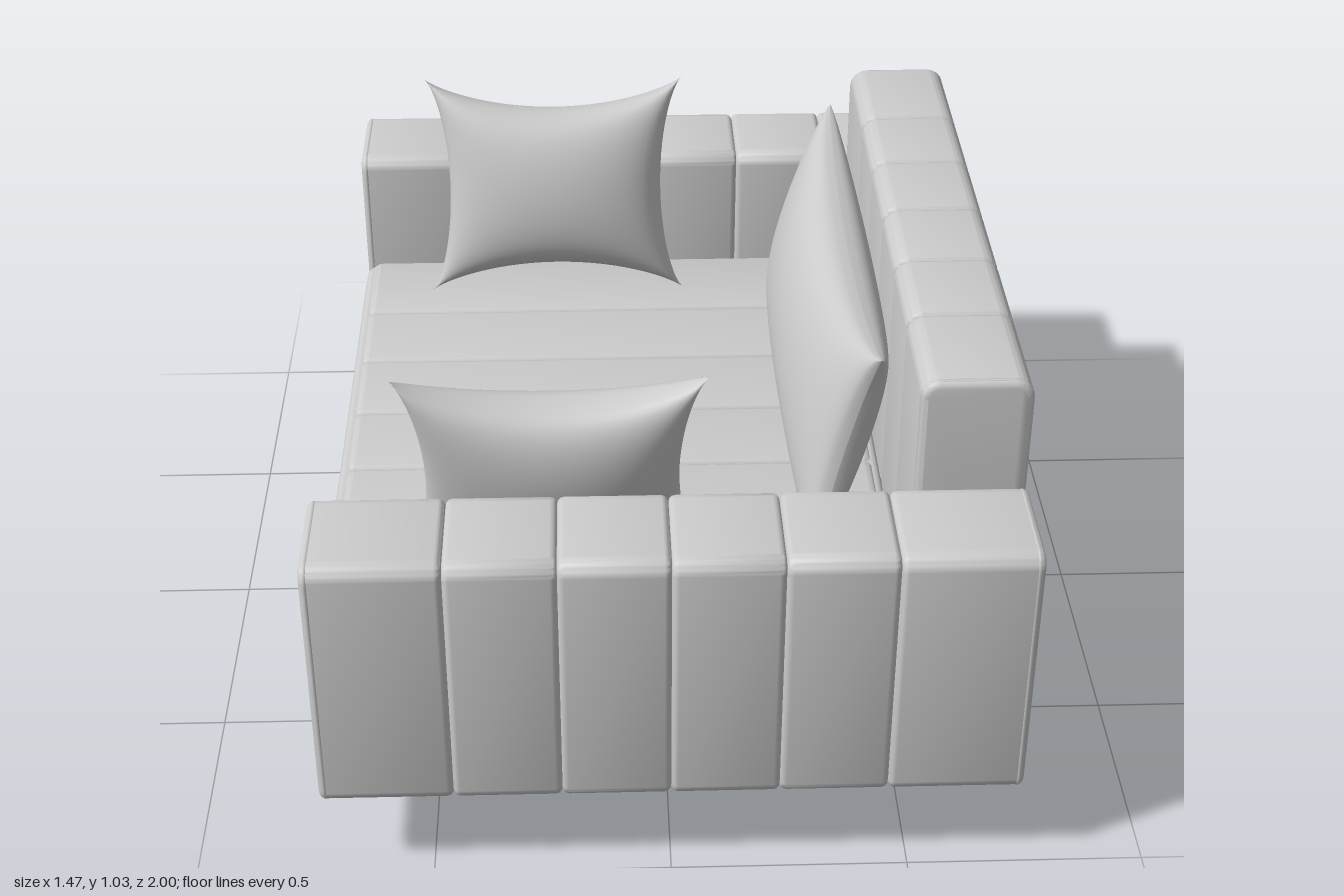
import * as THREE from 'three';
import { RoundedBoxGeometry } from 'three/addons/geometries/RoundedBoxGeometry.js';
import { mergeGeometries, toCreasedNormals } from 'three/addons/utils/BufferGeometryUtils.js';

const material = new THREE.MeshStandardMaterial({ color: 0xcccccc });
const BEVEL = 0.014;

function add(parent, name, geometry) {
  const mesh = new THREE.Mesh(geometry, material);
  mesh.name = name;
  parent.add(mesh);
  return mesh;
}

function roundedRect(path, w, h, r) {
  const x = w / 2, y = h / 2;
  path.moveTo(-x + r, -y);
  path.lineTo(x - r, -y);
  path.absarc(x - r, -y + r, r, -Math.PI / 2, 0);
  path.absarc(x - r, y - r, r, 0, Math.PI / 2);
  path.absarc(-x + r, y - r, r, Math.PI / 2, Math.PI);
  path.absarc(-x + r, -y + r, r, Math.PI, Math.PI * 1.5);
  path.closePath();
  return path;
}

// Padded block along z: rounded cross-section with softly bevelled ends
function pad(w, h, radius, z0, z1) {
  const g = new THREE.ExtrudeGeometry(roundedRect(new THREE.Shape(), w, h, radius), {
    depth: z1 - z0 - 2 * BEVEL, curveSegments: 6,
    bevelThickness: BEVEL, bevelSize: BEVEL, bevelOffset: -BEVEL, bevelSegments: 3,
  });
  return toCreasedNormals(g.translate(0, 0, z0 + BEVEL), 0.8);
}

// Row of padded channels split at the given cuts
function channels(w, h, radius, cuts) {
  return mergeGeometries(cuts.slice(1).map((end, i) => pad(w, h, radius, cuts[i], end)));
}

// Thin cord around an end panel, lying in the xy plane
function piping(w, h, r) {
  const pts = roundedRect(new THREE.Path(), w, h, r).getPoints(6)
    .map((p) => new THREE.Vector3(p.x, p.y, 0));
  const curve = new THREE.CurvePath();
  for (let i = 0; i < pts.length - 1; i++) {
    if (pts[i].distanceTo(pts[i + 1]) > 1e-4) curve.add(new THREE.LineCurve3(pts[i], pts[i + 1]));
  }
  return new THREE.TubeGeometry(curve, 160, 0.006, 6, true);
}

// Stuffed pillow: two bulged sheets meeting at a seam with pulled-out corners
function pillow(w, h, depth, insetX, insetY) {
  const n = 32;
  const sheets = [1, -1].map((side) => {
    const g = new THREE.PlaneGeometry(2, 2, n, n);
    const p = g.attributes.position;
    for (let i = 0; i < p.count; i++) {
      const u = Math.sin(p.getX(i) * Math.PI / 2), v = Math.sin(p.getY(i) * Math.PI / 2);
      const fu = Math.max(0, 1 - u * u), fv = Math.max(0, 1 - v * v);
      const x = u * (w / 2 - insetX * Math.pow(fv, 0.7));
      const y = v * (h / 2 - insetY * Math.pow(fu, 0.8));
      p.setXYZ(i, x * side, y, side * depth / 2 * Math.pow(fu * fv, 0.38));
    }
    g.computeVertexNormals();
    return g;
  });
  return mergeGeometries(sheets);
}

export function createModel() {
  const model = new THREE.Group();
  model.name = 'sofa';

  // Seat base
  const base = add(model, 'seatBase', new RoundedBoxGeometry(1.245, 0.275, 1.47, 4, 0.025));
  base.position.set(-0.1125, 0.3275, 0);

  // Channelled mattress on a thin border with rounded corners
  const border = pad(1.222, 1.446, 0.045, -0.025, 0.025).rotateX(-Math.PI / 2);
  add(model, 'cushionBorder', border).position.set(-0.114, 0.48, 0);
  const inner = [-0.46, -0.23, 0, 0.23, 0.46];
  const seat = channels(1.205, 0.065, 0.03, [-0.715, ...inner, 0.715]);
  add(model, 'seatCushion', seat).position.set(-0.113, 0.48, 0);

  // Backrest with piped ends
  const back = new THREE.Group();
  back.name = 'backrest';
  back.position.set(0.619, 0.612, 0);
  add(back, 'backChannels', channels(0.228, 0.842, 0.04, [-0.732, ...inner, 0.732]));
  for (const s of [-1, 1]) {
    add(back, 'backPiping', piping(0.219, 0.833, 0.036)).position.z = s * 0.719;
  }
  model.add(back);

  // Arms with piped ends, built along z and turned to run along x
  const armChannels = channels(0.263, 0.6, 0.035, [-0.728, -0.45, -0.225, 0, 0.225, 0.45, 0.733]);
  for (const s of [-1, 1]) {
    const arm = new THREE.Group();
    arm.name = s > 0 ? 'leftArm' : 'rightArm';
    arm.rotation.y = Math.PI / 2;
    arm.position.set(0, 0.495, s * 0.8675);
    add(arm, 'armChannels', armChannels);
    for (const z of [-0.715, 0.72]) {
      add(arm, 'armPiping', piping(0.254, 0.591, 0.031)).position.z = z;
    }
    model.add(arm);
  }

  // Flat-bar loop legs
  const loop = roundedRect(new THREE.Shape(), 1.21, 0.185, 0.04);
  loop.holes.push(roundedRect(new THREE.Path(), 1.196, 0.171, 0.033));
  const legGeometry = new THREE.ExtrudeGeometry(loop, { depth: 0.108, bevelEnabled: false, curveSegments: 8 });
  legGeometry.translate(0, 0, -0.054).rotateY(Math.PI / 2);
  for (const x of [-0.565, 0.565]) {
    add(model, 'leg', legGeometry).position.set(x, 0.0935, 0.005);
  }

  // Square pillows leaning on the arms
  const square = pillow(0.635, 0.54, 0.225, 0.055, 0.075);
  for (const s of [-1, 1]) {
    const p = add(model, 'armPillow', square);
    p.position.set(-0.235, 0.773, s * 0.633);
    p.rotation.x = s * 0.24;
  }

  // Long pillow leaning on the backrest
  const long = add(model, 'backPillow', pillow(1.19, 0.51, 0.215, 0.05, 0.06));
  long.rotation.set(0.24, Math.PI / 2, 0, 'YXZ');
  long.position.set(0.382, 0.755, 0);

  return model;
}
